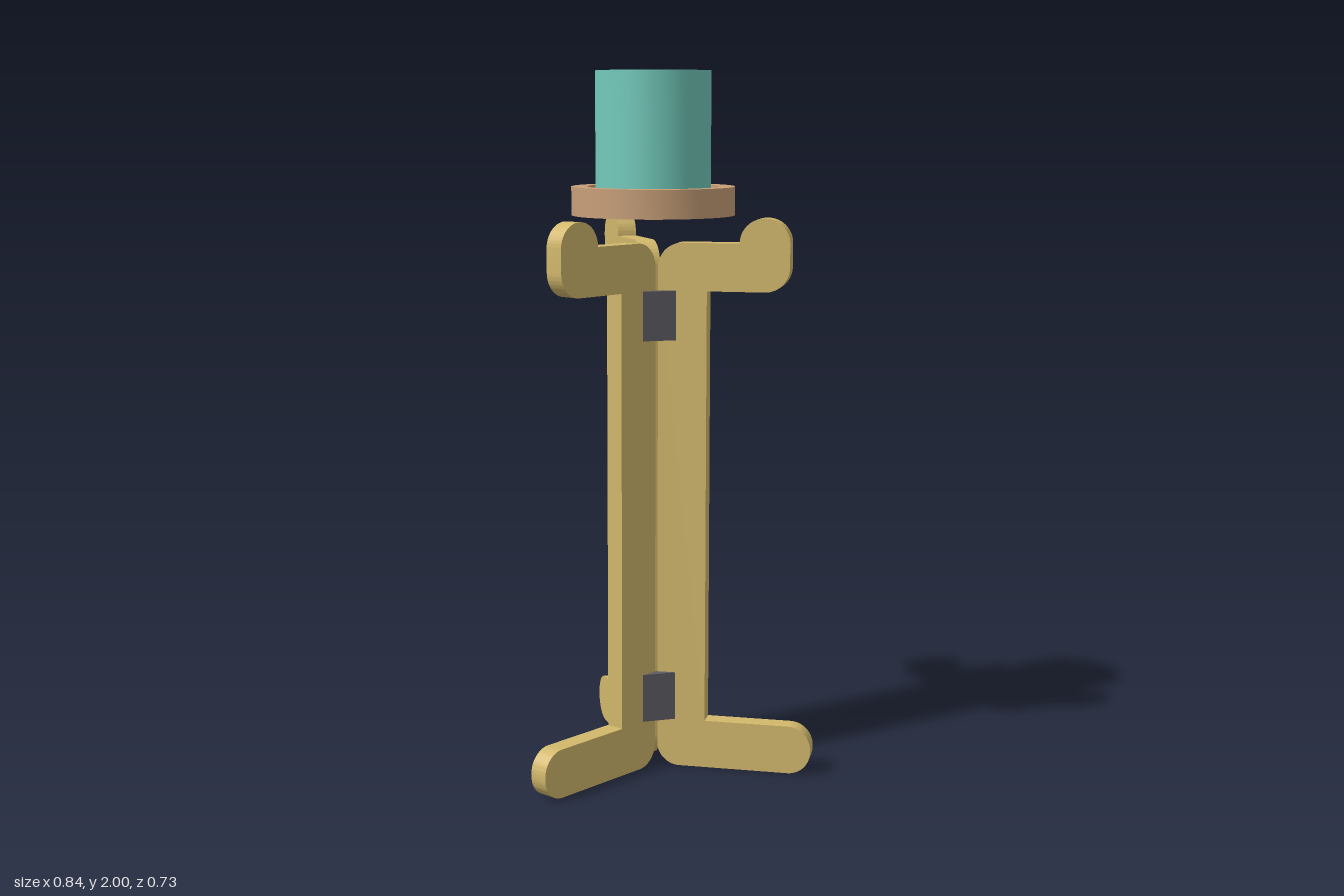
import * as THREE from 'three';
import { toCreasedNormals } from 'three/addons/utils/BufferGeometryUtils.js';

const material = (color) => new THREE.MeshStandardMaterial({ color });
const wood = material(0xd2b86c), tan = material(0xc89f78), teal = material(0x72cabb), dark = material(0x5c5c62);

function mesh(name, geometry, mat) {
  const m = new THREE.Mesh(toCreasedNormals(geometry, 0.6), mat);
  m.name = name;
  return m;
}

// Closed outline from [x, y, cornerRadius] points, each corner rounded by an arc
function roundedOutline(points) {
  const shape = new THREE.Shape();
  const n = points.length;
  points.forEach(([x, y, r], i) => {
    const p = new THREE.Vector2(x, y);
    const toward = (q) => new THREE.Vector2(q[0], q[1]).sub(p).normalize().multiplyScalar(r);
    const before = toward(points[(i + n - 1) % n]);
    const after = toward(points[(i + 1) % n]);
    const start = p.clone().add(before);
    if (i === 0) shape.moveTo(start.x, start.y);
    else shape.lineTo(start.x, start.y);
    if (r > 0) {
      const c = p.clone().add(before).add(after);
      const a0 = Math.atan2(-after.y, -after.x), a1 = Math.atan2(-before.y, -before.x);
      shape.absarc(c.x, c.y, r, a0, a1, before.cross(after) > 0);
    }
  });
  shape.closePath();
  return shape;
}

// Leg board: foot, upright and arm with a raised end; x runs outward from the axis
function legGeometry() {
  const t = 0.055;
  const shape = roundedOutline([
    [0.02, 0, 0.065], [0.469, 0, 0.066], [0.469, 0.14, 0.066], [0.16, 0.14, 0],
    [0.16, 1.39, 0], [0.394, 1.39, 0.07], [0.394, 1.595, 0.07], [0.252, 1.595, 0.07],
    [0.252, 1.525, 0], [0.02, 1.525, 0.07],
  ]);
  return new THREE.ExtrudeGeometry(shape, { depth: t, bevelEnabled: false, curveSegments: 16 })
    .translate(0, 0, -t / 2);
}

// Wedge filling the gap between two neighbouring legs; x runs outward
function wedgeGeometry() {
  const shape = new THREE.Shape([[0.032, 0], [0.06, -0.049], [0.06, 0.049]].map(([x, y]) => new THREE.Vector2(x, y)));
  return new THREE.ExtrudeGeometry(shape, { depth: 0.14, bevelEnabled: false }).rotateX(-Math.PI / 2);
}

// Open dish turned around the axis
function dishGeometry(outer, inner, bottom, floor, top) {
  const profile = [[0, bottom], [outer, bottom], [outer, top], [inner, top], [inner, floor], [0, floor]];
  return new THREE.LatheGeometry(profile.map(([x, y]) => new THREE.Vector2(x, y)), 64);
}

export function createModel() {
  const model = new THREE.Group();
  model.name = 'tripodStand';
  const stand = new THREE.Group();
  stand.name = 'stand';
  stand.position.z = 0.104;
  model.add(stand);

  // Three legs and the wedges between them
  for (let i = 0; i < 3; i++) {
    const angle = Math.PI / 2 + (i * Math.PI * 2) / 3;
    const leg = mesh('leg', legGeometry(), wood);
    leg.rotation.y = angle;
    stand.add(leg);
    for (const y of [0.14, 1.25]) {
      const wedge = mesh('jointBlock', wedgeGeometry(), dark);
      wedge.rotation.y = angle + Math.PI;
      wedge.position.y = y;
      stand.add(wedge);
    }
  }

  // Recessed tray with the open cup standing in it
  stand.add(mesh('tray', dishGeometry(0.23, 0.185, 1.6, 1.64, 1.68), tan));
  stand.add(mesh('cup', dishGeometry(0.162, 0.139, 1.64, 1.663, 2), teal));
  return model;
}
